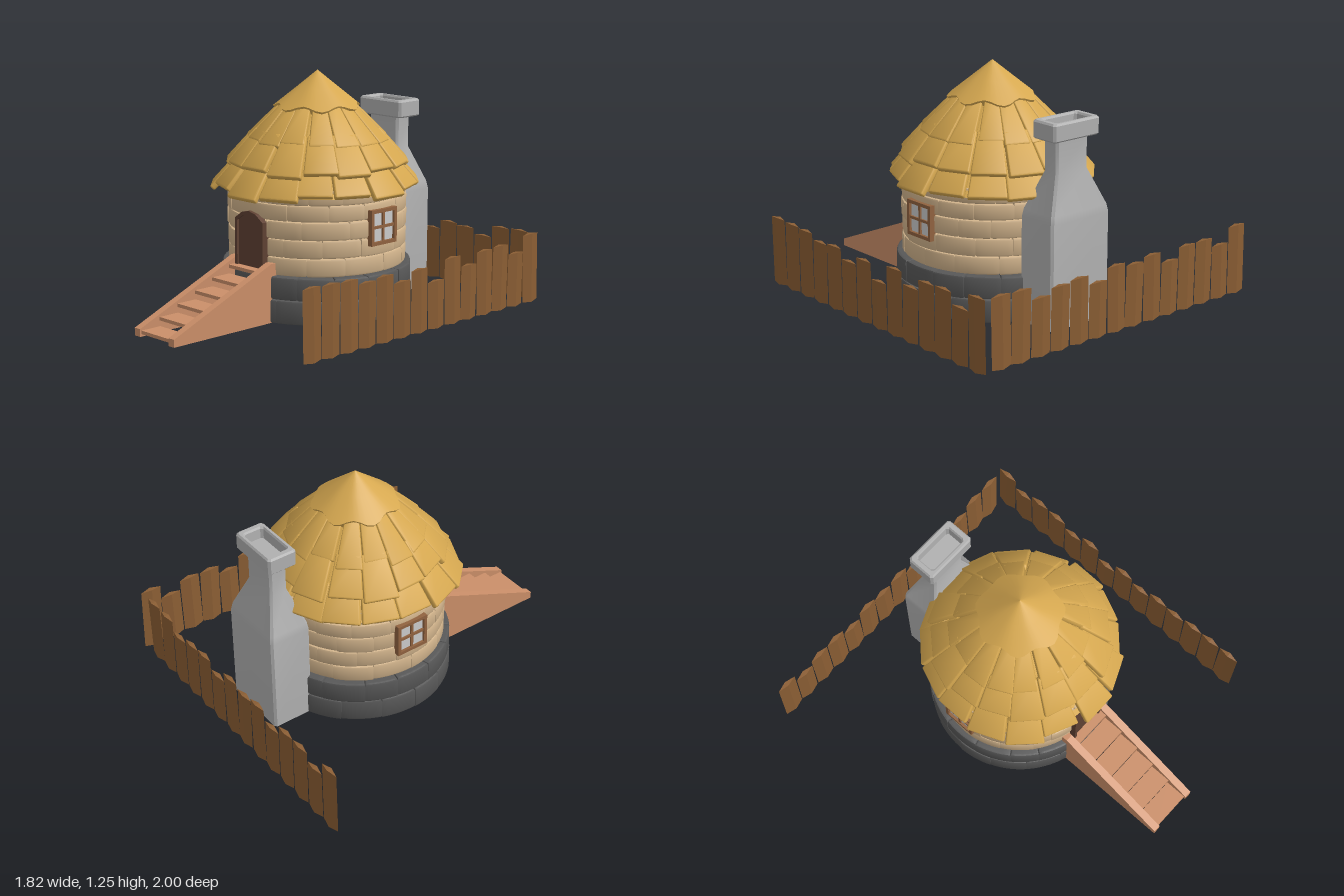
import * as THREE from 'three';
import { toCreasedNormals } from 'three/addons/utils/BufferGeometryUtils.js';
import { RoundedBoxGeometry } from 'three/addons/geometries/RoundedBoxGeometry.js';

const material = (color, side = THREE.FrontSide) => new THREE.MeshStandardMaterial({ color, side });
const STONE = material(0x585858), BRICK = material(0xd2b48c), THATCH = material(0xd6a850, THREE.DoubleSide);
const WOOD = material(0x8b5e34), STEP = material(0xcb8f69), DOOR = material(0x5f4133);
const FRAME = material(0x916340), GREY = material(0xcccccc), FLUE = material(0xb0b0b0);
const CX = 0.098, CZ = -0.125; // centre of the hut

let seed = 7;
const rand = () => (seed = (seed * 16807) % 2147483647) / 2147483647;
const jitter = (a) => (rand() - 0.5) * 2 * a;

function add(parent, name, geometry, mat, x = 0, y = 0, z = 0) {
  const mesh = new THREE.Mesh(geometry, mat);
  mesh.name = name;
  mesh.position.set(x, y, z);
  parent.add(mesh);
  return mesh;
}
function group(parent, name, x = 0, y = 0, z = 0) {
  const g = new THREE.Group();
  g.name = name;
  g.position.set(x, y, z);
  parent.add(g);
  return g;
}
function moveVertices(geometry, rule) {
  const p = geometry.attributes.position, v = new THREE.Vector3();
  for (let i = 0; i < p.count; i++) {
    rule(v.fromBufferAttribute(p, i));
    p.setXYZ(i, v.x, v.y, v.z);
  }
  return geometry;
}

// Curved block with bevelled edges, standing on y = 0
function arcBlock(rIn, rOut, height, span) {
  const b = 0.012, s = new THREE.Shape();
  const ho = span / 2 - b / rOut, hi = span / 2 - b / rIn;
  s.absarc(0, 0, rOut - b, -ho, ho, false);
  s.absarc(0, 0, rIn + b, hi, -hi, true);
  const geo = new THREE.ExtrudeGeometry(s, {
    depth: height - 2 * b, bevelSize: b, bevelThickness: b, bevelSegments: 2, curveSegments: 5,
  });
  geo.translate(0, 0, b).rotateX(-Math.PI / 2);
  return toCreasedNormals(geo, 0.7);
}

// Courses of blocks, every other one shifted by half a block
function courses(parent, name, mat, count, rIn, rOut, levels) {
  for (let row = 0; row < levels.length - 1; row++) {
    const step = (2 * Math.PI) / count, shift = (row % 2) * step / 2;
    const cuts = Array.from({ length: count }, (_, i) => i * step + shift + jitter(step * 0.12));
    for (let i = 0; i < count; i++) {
      const a = cuts[i], b = i + 1 < count ? cuts[i + 1] : cuts[0] + 2 * Math.PI;
      const geo = arcBlock(rIn, rOut + jitter(0.004), levels[row + 1] - levels[row], b - a);
      add(parent, name, geo, mat, 0, levels[row], 0).rotation.y = (a + b) / 2;
    }
  }
}

// Tapered shingle whose upper face runs from (rTop, yTop) down to (rLow, yLow)
function shingle(rTop, yTop, rLow, yLow, span) {
  const t = 0.034, width = 2 * Math.tan(span / 2);
  const len = Math.hypot(rLow - rTop, yTop - yLow);
  const nr = (yTop - yLow) / len, ny = (rLow - rTop) / len;
  const geo = new RoundedBoxGeometry(width * rLow, t, len, 2, 0.01);
  moveVertices(geo, (v) => {
    const s = v.z / len + 0.5, n = v.y - t / 2;
    const r = rTop + (rLow - rTop) * s;
    v.set(v.x * r / rLow, yTop + (yLow - yTop) * s + n * ny, r + n * nr);
  });
  return toCreasedNormals(geo, 0.6);
}

// Skin over chamfered rectangles given as [y, half width, half depth]
function loftRects(rings, chamfer) {
  const pos = [], index = [];
  for (const [y, w, d] of rings) {
    const c = Math.min(chamfer, w, d);
    const corners = [[w, d - c], [w, c - d], [w - c, -d], [c - w, -d], [-w, c - d], [-w, d - c], [c - w, d], [w - c, d]];
    for (const [x, z] of corners) pos.push(x, y, z);
  }
  for (let j = 0; j < rings.length - 1; j++) {
    for (let i = 0; i < 8; i++) {
      const a = j * 8 + i, b = j * 8 + ((i + 1) % 8);
      index.push(a, b, b + 8, a, b + 8, a + 8);
    }
  }
  const geo = new THREE.BufferGeometry();
  geo.setAttribute('position', new THREE.Float32BufferAttribute(pos, 3));
  geo.setIndex(index);
  return toCreasedNormals(geo, 0.5);
}

function buildRoof(hut) {
  const roof = group(hut, 'roof'), count = 16, step = (2 * Math.PI) / count;
  const tiers = [[0.4, 0.83, 0.545, 0.665], [0.32, 0.96, 0.475, 0.785], [0.15, 1.13, 0.365, 0.915]];
  tiers.forEach(([rt, yt, rl, yl], tier) => {
    for (let i = 0; i < count; i++) {
      const e = jitter(0.018); // uneven lower edges
      const geo = shingle(rt, yt, rl + e, yl - e, step * (0.95 + jitter(0.03)));
      add(roof, 'shingle', geo, THATCH).rotation.y = (i + tier * 0.06) * step + jitter(0.03);
    }
  });
  add(roof, 'roofLining', new THREE.ConeGeometry(0.5, 0.52, 32, 1, true), THATCH, 0, 0.92, 0);
  // Peak cap with a wavy rim
  const profile = [[0, 1.18], [0.205, 1.045], [0.222, 1.075], [0.11, 1.165], [0, 1.255]];
  const cap = new THREE.LatheGeometry(profile.map(([x, y]) => new THREE.Vector2(x, y)), 42);
  moveVertices(cap, (v) => {
    const r = Math.hypot(v.x, v.z), wave = Math.cos(7 * Math.atan2(v.x, v.z)) * (r / 0.22) ** 2;
    v.set(v.x * (1 + 0.06 * wave), v.y - 0.012 * wave, v.z * (1 + 0.06 * wave));
  });
  add(roof, 'roofCap', toCreasedNormals(cap, 0.5), THATCH);
}

function buildDoor(hut) {
  const door = group(hut, 'door', 0, 0.26, 0.4);
  const outline = (w, side, top) => [[-w, 0], [w, 0], [w, side], [w * 0.5, top - 0.012], [0, top], [-w * 0.5, top - 0.012], [-w, side]]
    .map(([x, y]) => new THREE.Vector2(x, y));
  const frame = new THREE.Shape(outline(0.104, 0.262, 0.31));
  frame.holes.push(new THREE.Path(outline(0.088, 0.252, 0.294).map((p) => (p.y === 0 ? p.setY(0.012) : p))));
  add(door, 'doorFrame', new THREE.ExtrudeGeometry(frame, { depth: 0.092, bevelEnabled: false }), DOOR);
  const panel = new THREE.Shape(outline(0.095, 0.256, 0.3));
  add(door, 'doorPanel', new THREE.ExtrudeGeometry(panel, { depth: 0.13, bevelEnabled: false }), DOOR, 0, 0, -0.05);
}

function buildWindow(hut, side) {
  const win = group(hut, 'window', side * 0.462, 0.493, 0);
  add(win, 'windowPane', new THREE.BoxGeometry(0.03, 0.17, 0.17), GREY);
  for (const s of [-1, 0, 1]) {
    const w = s ? 0.018 : 0.014, depth = s ? 0.06 : 0.05;
    add(win, 'windowBar', new THREE.BoxGeometry(depth, 0.186, w), FRAME, 0, 0, s * 0.084);
    add(win, 'windowBar', new THREE.BoxGeometry(depth, w, 0.186), FRAME, 0, s * 0.084, 0);
  }
}

function buildStairs(model) {
  const stairs = group(model, 'stairs', CX, 0.005, 0);
  const side = new THREE.Shape([[0.3, 0], [1, 0], [1, 0.04], [0.35, 0.31], [0.3, 0.31]].map(([z, y]) => new THREE.Vector2(z, y)));
  const geo = new THREE.ExtrudeGeometry(side, { depth: 0.042, bevelEnabled: false }).rotateY(-Math.PI / 2);
  add(stairs, 'stringer', geo, STEP, 0.152);
  add(stairs, 'stringer', geo, STEP, -0.11);
  for (let i = 0; i < 6; i++) {
    add(stairs, 'tread', new THREE.BoxGeometry(0.23, 0.018, 0.12), STEP, 0, 0.022 + i * 0.048, 0.93 - i * 0.117);
  }
}

// Row of planks with a lens section and slightly peaked ends
function fenceRow(model, name, heights) {
  const row = group(model, name);
  heights.forEach((h, i) => {
    const geo = new THREE.CylinderGeometry(1, 1, h - 0.01, 4).toNonIndexed();
    moveVertices(geo, (v) => {
      const peak = Math.sign(v.y) * 0.006 * (1 - Math.abs(v.x));
      v.set(v.x * 0.06, v.y + peak, v.z * 0.014);
    });
    geo.computeVertexNormals();
    add(row, 'plank', geo, WOOD, -0.815 + i * 0.1254, h / 2 + 0.005, 0).rotation.z = jitter(0.025);
  });
  return row;
}

export function createModel() {
  const model = new THREE.Group();
  model.name = 'roundHut';
  const hut = group(model, 'hut', CX, 0, CZ);

  courses(group(hut, 'foundation'), 'foundationStone', STONE, 16, 0.36, 0.502, [0.005, 0.13, 0.25]);
  courses(group(hut, 'wall'), 'wallBrick', BRICK, 14, 0.39, 0.472, [0.25, 0.345, 0.44, 0.535, 0.62, 0.7]);
  buildRoof(hut);
  buildDoor(hut);
  for (const side of [-1, 1]) buildWindow(hut, side);
  buildStairs(model);

  // Chimney: body, shoulder, shaft, hollow crown
  const rings = [
    [0.01, 0, 0], [0.01, 0.195, 0.118], [0.56, 0.195, 0.118], [0.6, 0.187, 0.112], [0.79, 0.105, 0.05], [0.96, 0.105, 0.05],
    [0.96, 0.145, 0.075], [0.968, 0.153, 0.083], [1.045, 0.153, 0.083], [1.055, 0.145, 0.075],
    [1.055, 0.122, 0.062], [1.045, 0.115, 0.056], [0.99, 0.112, 0.054], [0.99, 0, 0],
  ];
  add(model, 'chimney', loftRects(rings, 0.012), FLUE, CX, 0, -0.682);

  const back = fenceRow(model, 'backFence', [0.375, 0.295, 0.345, 0.345, 0.29, 0.35, 0.33, 0.35, 0.29, 0.34, 0.33, 0.3, 0.365, 0.37]);
  back.position.set(-0.035, 0, -0.982);
  const sideFence = fenceRow(model, 'sideFence', [0.37, 0.365, 0.36, 0.33, 0.34, 0.29, 0.33, 0.25, 0.35, 0.29, 0.345, 0.35, 0.29, 0.375]);
  sideFence.rotation.y = Math.PI / 2;
  sideFence.position.set(0.892, 0, -0.125);
  return model;
}
